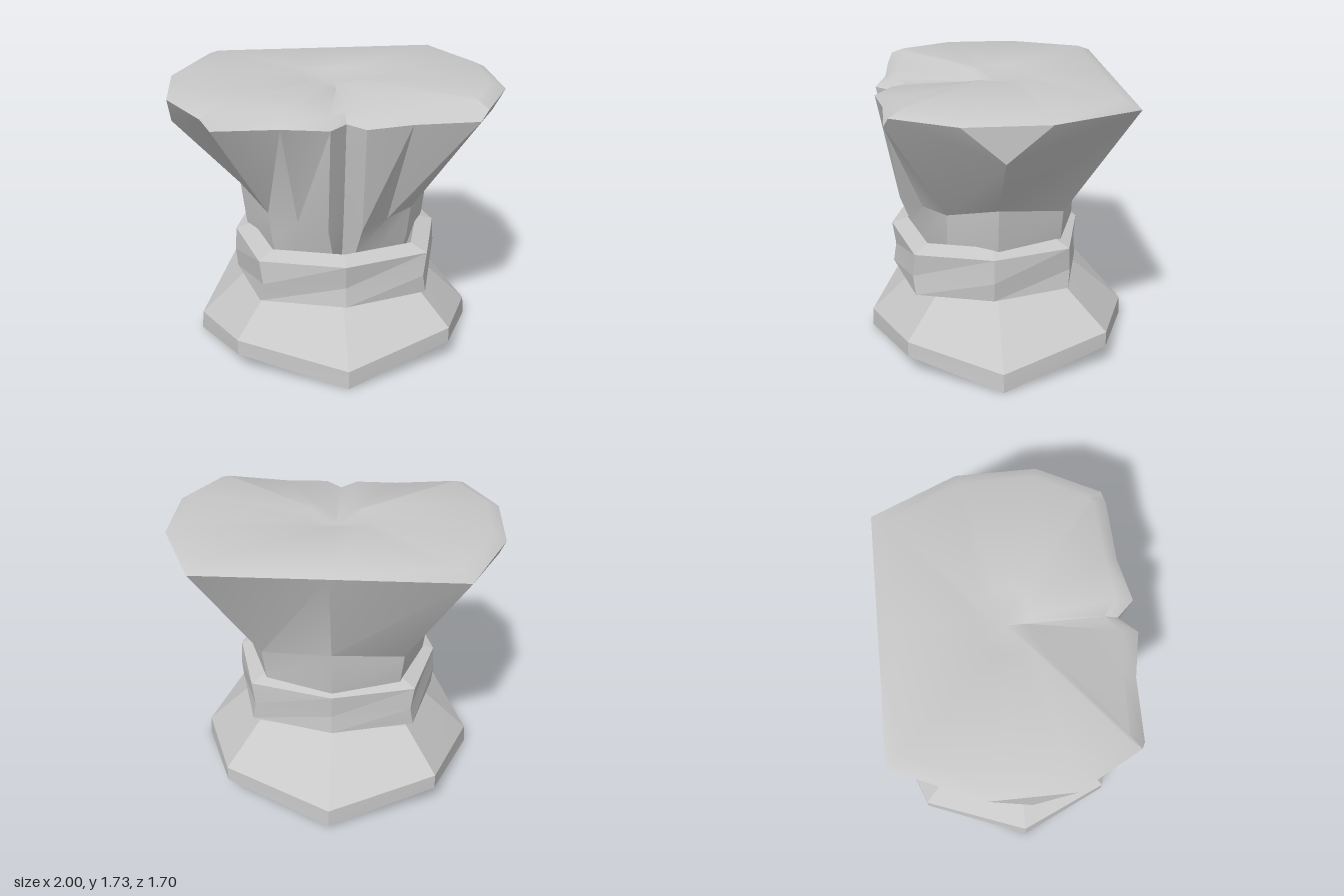
import * as THREE from 'three';
import { toCreasedNormals } from 'three/addons/utils/BufferGeometryUtils.js';

const stone = new THREE.MeshStandardMaterial({ color: 0xc8c8c8 });
stone.name = 'grey stone';

// A half ring runs front -> +x -> back; its inner points are mirrored to -x.
function fullRing(half) {
  const mirrored = half.slice(1, -1).reverse().map(([x, y, z]) => [-x, y, z]);
  return [...half, ...mirrored];
}

function meshFrom(name, triangles, crease) {
  const points = [];
  const [a, b, c] = [0, 1, 2].map(() => new THREE.Vector3());
  for (const t of triangles) {
    a.fromArray(t[0]);
    b.fromArray(t[1]);
    c.fromArray(t[2]);
    const area = b.clone().sub(a).cross(c.clone().sub(a)).length();
    if (area > 1e-6) points.push(...t.flat());
  }
  const geometry = new THREE.BufferGeometry();
  geometry.setAttribute('position', new THREE.Float32BufferAttribute(points, 3));
  const mesh = new THREE.Mesh(toCreasedNormals(geometry, crease), stone);
  mesh.name = name;
  return mesh;
}

// Skin a stack of half rings, listed from the bottom outwards and up.
function loft(name, halves, crease = 0.1) {
  const rings = halves.map(fullRing);
  const triangles = [];
  for (let r = 0; r + 1 < rings.length; r++) {
    const low = rings[r], high = rings[r + 1], n = low.length;
    for (let i = 0; i < n; i++) {
      const j = (i + 1) % n;
      triangles.push([low[i], low[j], high[j]], [low[i], high[j], high[i]]);
    }
  }
  return meshFrom(name, triangles, crease);
}

function createBase() {
  const group = new THREE.Group();
  group.name = 'base';
  const foot = [[0, 0, 0.85], [0.66, 0.14, 0.61], [0.9, 0, 0.05], [0.66, 0.14, -0.61], [0, 0, -0.85]];
  const band = [[0, 0.12, 0.845], [0.66, 0.24, 0.61], [0.89, 0.12, 0.05], [0.66, 0.24, -0.61], [0, 0.12, -0.845]];
  const neck = [[0, 0.46, 0.5], [0.47, 0.46, 0.42], [0.55, 0.46, 0.05], [0.47, 0.46, -0.39], [0, 0.46, -0.47]];
  const inside = neck.map(([x, , z]) => [x * 0.85, 0.62, z * 0.85]);
  group.add(loft('baseSlope', [foot, band, neck, inside]));

  // Underside: a flat middle with four raised corners
  const f = fullRing(foot);
  const under = [[f[4], f[2], f[0]], [f[6], f[4], f[0]]];
  for (let i = 0; i < 8; i += 2) under.push([f[(i + 2) % 8], f[i + 1], f[i]]);
  group.add(meshFrom('baseUnderside', under, 0.1));
  return group;
}

function createCollar() {
  const outline = [[0, 0.69], [0.51, 0.55], [0.64, 0.08], [0.51, -0.39], [0, -0.52]];
  const ring = (scale, y) => outline.map(([x, z]) => [x * scale, y, 0.08 + (z - 0.08) * scale]);
  const waist = [[0, 0.6, 0.67], [0.49, 0.6, 0.565], [0.65, 0.6, 0.08], [0.49, 0.6, -0.4], [0, 0.6, -0.51]];
  return loft('collar', [
    ring(0.6, 0.48), ring(0.82, 0.445), ring(1, 0.48), waist,
    ring(1, 0.75), ring(0.83, 0.785), ring(0.76, 0.65),
  ]);
}

function createHead() {
  // Columns: groove, groove lip, front panel, front corner (twice),
  // side (twice), back corner, back middle
  const foot = [
    [0, 0.79, 0.48], [0.07, 0.79, 0.57], [0.25, 0.79, 0.46], [0.42, 0.79, 0.35], [0.42, 0.79, 0.35],
    [0.57, 0.79, 0.05], [0.57, 0.79, 0.05], [0.42, 0.78, -0.35], [0, 0.78, -0.49],
  ];
  const bottom = foot.map(([x, , z]) => [x * 0.92, 0.6, z * 0.92]);
  const bend = [
    [0, 0.96, 0.53], [0.1, 0.96, 0.63], [0.27, 0.965, 0.49], [0.44, 0.97, 0.35], [0.44, 0.97, 0.35],
    [0.6, 1.05, 0.05], [0.6, 1.05, 0.05], [0.44, 0.97, -0.36], [0, 1.05, -0.5],
  ];
  const rim = [
    [0, 1.63, 0.65], [0.1, 1.63, 0.755], [0.37, 1.63, 0.7], [0.75, 1.63, 0.69], [0.8, 1.69, 0.66],
    [1, 1.69, 0.29], [1, 1.69, -0.2], [0.77, 1.69, -0.72], [0, 1.69, -0.72],
  ];
  // The sides come to a point below the rim
  const flare = rim.map((p, i) => (i === 5 || i === 6 ? [1, 1.48, 0.05] : p));
  const top = [
    [0, 1.67, 0.57], [0.1, 1.68, 0.65], [0.36, 1.69, 0.62], [0.72, 1.72, 0.6], [0.74, 1.73, 0.58],
    [0.92, 1.73, 0.26], [0.92, 1.73, -0.18], [0.71, 1.73, -0.63], [0, 1.73, -0.63],
  ];
  const dip = top.map(([x, , z], i) => [x * 0.22, [1.67, 1.68, 1.7][i] ?? 1.725, z * 0.22]);
  const centre = top.map(() => [0, 1.67, 0]);

  const group = new THREE.Group();
  group.name = 'head';
  group.add(loft('headWall', [bottom, foot, bend, flare, rim], 0.3));
  group.add(loft('headTop', [rim, top, dip, centre], 0.8));
  return group;
}

export function createModel() {
  const model = new THREE.Group();
  model.name = 'carvedPiece';
  model.add(createBase(), createCollar(), createHead());
  return model;
}
